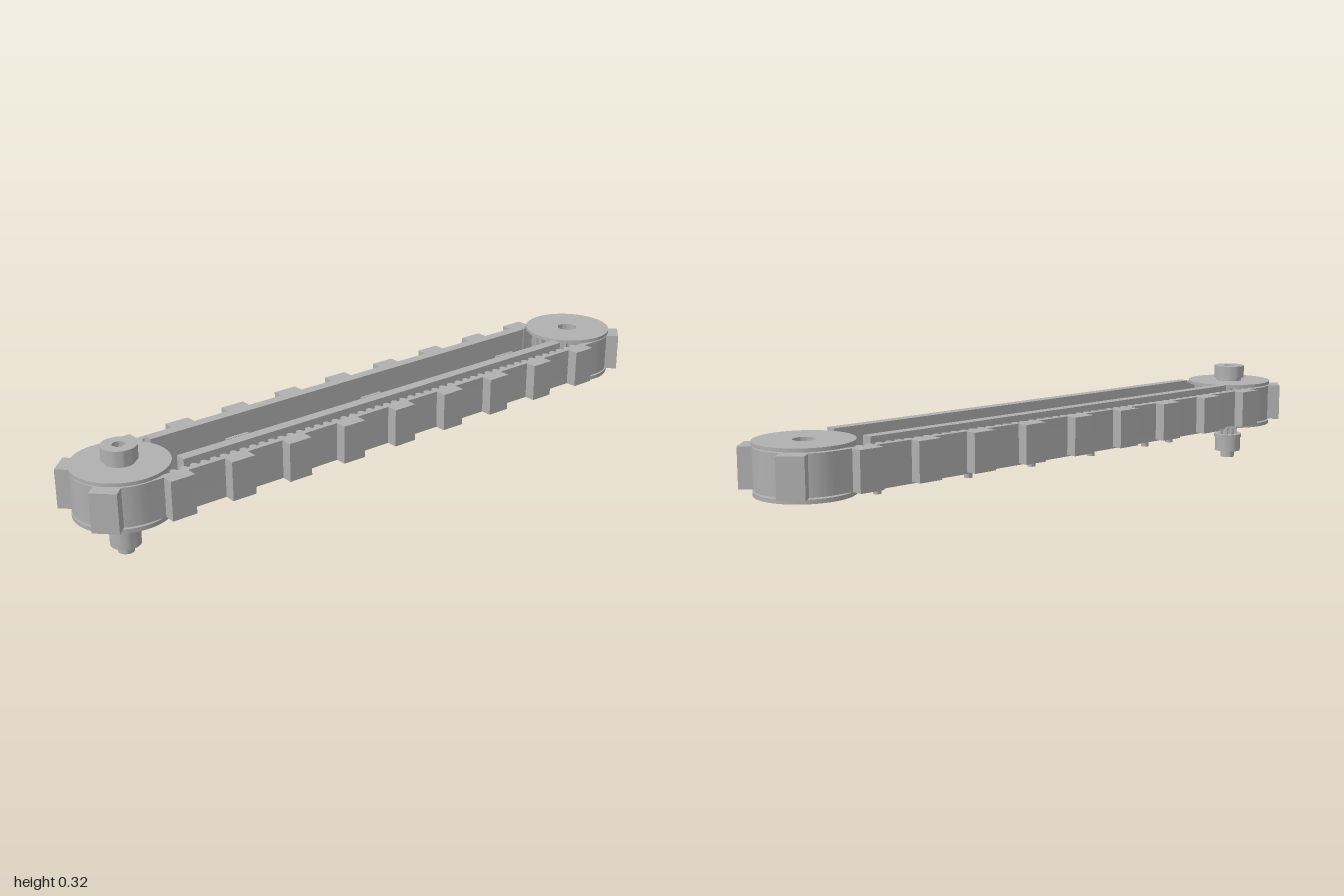
import * as THREE from 'three';
import { toCreasedNormals } from 'three/addons/utils/BufferGeometryUtils.js';

const grey = new THREE.MeshStandardMaterial({ color: 0xb0b0b0 });
grey.name = 'plain grey';

const END = 0.855;      // pulley centre distance from the middle
const BELT = 0.135;     // outer belt radius

function add(parent, name, geometry, x = 0, y = 0, z = 0) {
  const mesh = new THREE.Mesh(geometry, grey);
  mesh.name = name;
  mesh.position.set(x, y, z);
  parent.add(mesh);
  return mesh;
}

// Box given by its limits
function block(parent, name, x0, x1, y0, y1, z0, z1) {
  return add(parent, name, new THREE.BoxGeometry(x1 - x0, y1 - y0, z1 - z0),
    (x0 + x1) / 2, (y0 + y1) / 2, (z0 + z1) / 2);
}

// Plan outline raised from y0 to y1
function prism(shape, y0, y1) {
  const g = new THREE.ExtrudeGeometry(shape, { depth: y1 - y0, bevelEnabled: false, curveSegments: 32 });
  g.rotateX(-Math.PI / 2);
  g.translate(0, y0, 0);
  return toCreasedNormals(g, 0.5);
}

function stadium(path, r) {
  path.absarc(END, 0, r, -Math.PI / 2, Math.PI / 2, false);
  path.absarc(-END, 0, r, Math.PI / 2, Math.PI * 1.5, false);
  path.closePath();
  return path;
}

function bore(shape, r) {
  if (r > 0) shape.holes.push(new THREE.Path().absarc(0, 0, r, 0, Math.PI * 2, true));
  return shape;
}

function disc(r, hole) {
  return bore(new THREE.Shape().absarc(0, 0, r, 0, Math.PI * 2, false), hole);
}

// Toothed drum outline
function toothed(rOut, rIn, count, hole) {
  const pts = [];
  for (let i = 0; i < count; i++) {
    [[0, rIn], [0.3, rIn], [0.45, rOut], [0.85, rOut]].forEach(([f, r]) => {
      const a = (i + f) / count * Math.PI * 2;
      pts.push(new THREE.Vector2(r * Math.cos(a), r * Math.sin(a)));
    });
  }
  return bore(new THREE.Shape(pts), hole);
}

function lathe(pairs) {
  const g = new THREE.LatheGeometry(pairs.map(p => new THREE.Vector2(...p)), 40);
  return toCreasedNormals(g, 0.5);
}

function createPulley(x, hole) {
  const pulley = new THREE.Group();
  pulley.name = 'pulley';
  pulley.position.x = x;
  add(pulley, 'lowerFlange', prism(disc(0.137, hole), 0.122, 0.134));
  add(pulley, 'upperFlange', prism(disc(0.137, hole), 0.257, 0.267));
  add(pulley, 'toothedDrum', prism(toothed(0.116, 0.101, 24, hole), 0.134, 0.257));
  return pulley;
}

// L-shaped mount on the inside of a rail, with a pin hanging below
function createBracket(x, side) {
  const bracket = new THREE.Group();
  bracket.name = 'bracket';
  bracket.position.x = x;
  bracket.rotation.y = side > 0 ? 0 : Math.PI;
  block(bracket, 'foot', -0.0375, 0.0375, 0.124, 0.134, -0.053, 0.068);
  block(bracket, 'upright', -0.0375, 0.0375, 0.134, 0.205, 0.058, 0.068);
  const web = new THREE.Shape([[0, 0], [0.025, 0], [0, 0.06]].map(p => new THREE.Vector2(...p)));
  for (const s of [-1, 1]) {
    const g = new THREE.ExtrudeGeometry(web, { depth: 0.006, bevelEnabled: false });
    g.rotateY(Math.PI / 2);
    add(bracket, 'gusset', g, s * 0.022 - 0.003, 0.134, 0.058);
  }
  add(bracket, 'pin', lathe([[0, 0.087], [0.012, 0.087], [0.012, 0.124], [0.018, 0.134],
    [0.018, 0.14], [0.009, 0.14], [0.009, 0.132], [0, 0.132]]));
  return bracket;
}

export function createModel() {
  const model = new THREE.Group();
  model.name = 'cleatedConveyor';

  // Belt loop
  const loop = stadium(new THREE.Shape(), BELT);
  loop.holes.push(stadium(new THREE.Path(), 0.118));
  add(model, 'belt', prism(loop, 0.138, 0.253));

  // Rounded teeth and cleats on the two straight runs
  const tooth = new THREE.CylinderGeometry(0.0105, 0.0105, 0.115, 10);
  for (const side of [-1, 1]) {
    for (let i = -24; i <= 24; i++) add(model, 'beltTooth', tooth, i * 0.0317, 0.1955, side * 0.115);
    for (let i = -4; i <= 4; i++) {
      const x = i * 0.1905 - 0.003;
      block(model, 'cleat', x - 0.0375, x + 0.0375, 0.138, 0.253, side > 0 ? 0.13 : -0.169, side > 0 ? 0.169 : -0.13);
    }
  }

  // Cleats wrapped around the ends
  for (const end of [-1, 1]) for (const side of [-1, 1]) {
    const a = Math.PI / 4;
    const r = 0.148;
    const cleat = add(model, 'endCleat', new THREE.BoxGeometry(0.042, 0.115, 0.075),
      end * (END + r * Math.cos(a)), 0.1955, side * r * Math.sin(a));
    cleat.rotation.y = -end * side * a;
  }

  // Pulleys: driven one solid on its shaft, idler with an open bore
  model.add(createPulley(-END, 0), createPulley(END, 0.031));

  // Side rails
  for (const side of [-1, 1]) {
    block(model, 'rail', -0.72, 0.715, 0.124, 0.27, side > 0 ? 0.068 : -0.101, side > 0 ? 0.101 : -0.068);
  }

  // Brackets alternate between the rails
  [[-0.555, 1], [-0.44, -1], [-0.195, 1], [0.055, -1], [0.302, 1], [0.625, -1]]
    .forEach(([x, side]) => model.add(createBracket(x, side)));

  // Drive shaft: collar above, splined neck and coupling below
  const shaft = new THREE.Group();
  shaft.name = 'driveShaft';
  shaft.position.x = -END;
  add(shaft, 'collar', lathe([[0, 0.265], [0.042, 0.265], [0.042, 0.277], [0.05, 0.277],
    [0.05, 0.317], [0.018, 0.317], [0.018, 0.29], [0, 0.29]]));
  add(shaft, 'splinedNeck', prism(toothed(0.031, 0.023, 8, 0), 0.08, 0.124));
  add(shaft, 'coupling', lathe([[0, 0], [0.023, 0], [0.023, 0.023], [0.043, 0.023], [0.043, 0.07],
    [0.046, 0.07], [0.046, 0.081], [0.024, 0.081], [0.024, 0.088], [0, 0.088]]));
  model.add(shaft);

  return model;
}
